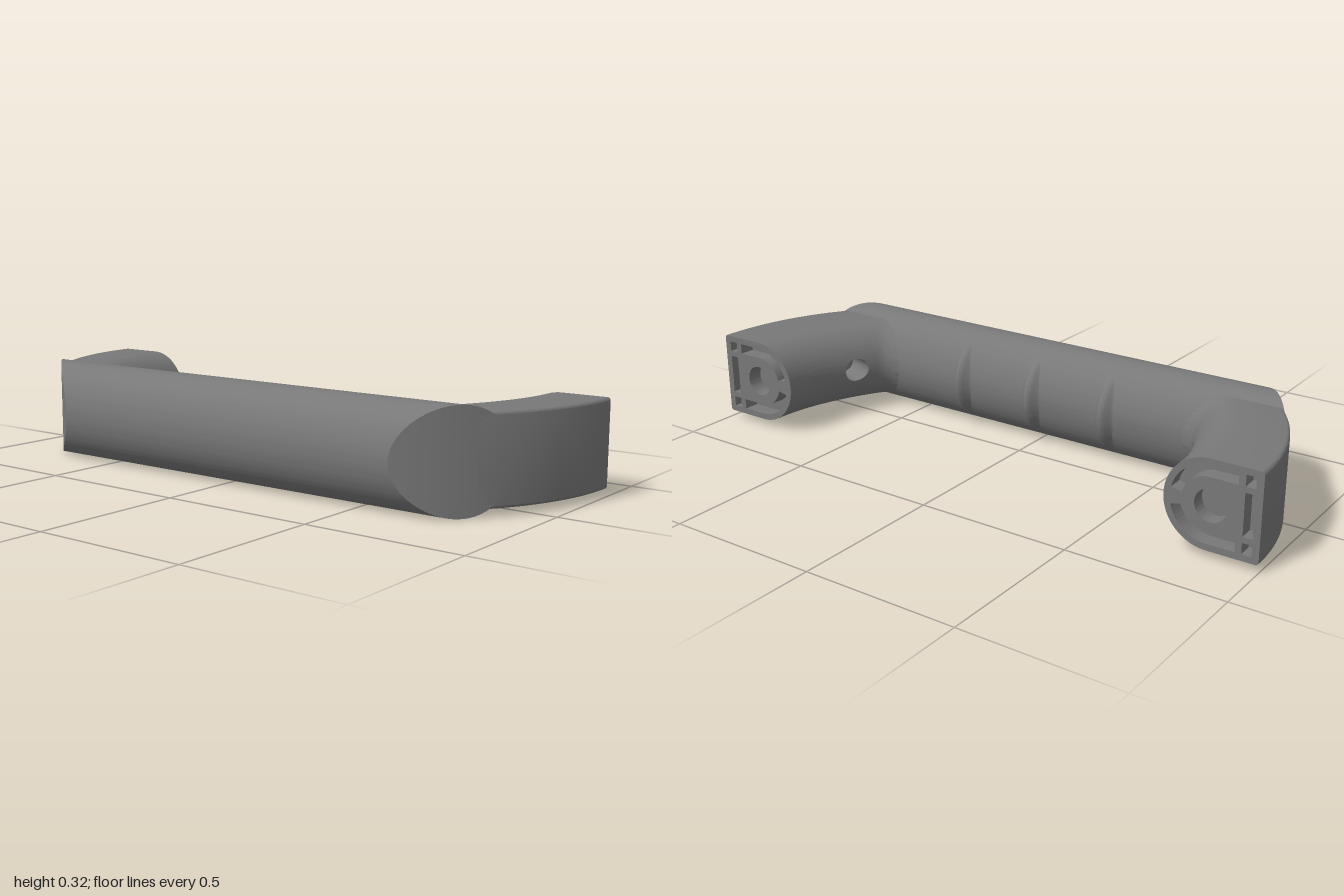
import * as THREE from 'three';
import { toCreasedNormals } from 'three/addons/utils/BufferGeometryUtils.js';

const material = new THREE.MeshStandardMaterial({ color: 0x787878 });

// Grip oval, leg section and corner rounding
const gripY = 0.16, gripRy = 0.16, gripZ = 0.19, gripRz = 0.127;
const backZ = -0.32, legY = 0.1605, legR = 0.1375, cornerR = 0.01;

// Plan curves: outer arc of grip ends and legs, and inner line of the legs
const outerX = z => 0.251 + Math.sqrt(0.561 - (z + 0.32) ** 2);
const innerX = z => 0.705 - 0.75 * (z + 0.32) ** 2;

// Rounded flare that blends the leg into the back of the grip
function flare(y, z) {
  const w = 0.042;
  const gripBack = gripZ - gripRz * Math.sqrt(1 - ((y - gripY) / gripRy) ** 2);
  const d = THREE.MathUtils.clamp(gripBack - z, 0, w);
  return w - Math.sqrt(w * w - (w - d) ** 2);
}

// Skin a list of closed rings of points; skip(i, j) leaves a cell open
function loft(rings, skip = () => false) {
  const n = rings[0].length, index = [];
  for (let i = 0; i < rings.length - 1; i++) {
    for (let j = 0; j < n; j++) {
      if (skip(i, j)) continue;
      const a = i * n + j, b = i * n + (j + 1) % n;
      index.push(a, a + n, b, b, a + n, b + n);
    }
  }
  const geometry = new THREE.BufferGeometry();
  geometry.setAttribute('position', new THREE.Float32BufferAttribute(rings.flat(2), 3));
  geometry.setIndex(index);
  return toCreasedNormals(geometry, 0.45);
}

function mesh(name, geometry, mat = material) {
  const m = new THREE.Mesh(geometry, mat);
  m.name = name;
  return m;
}

// Oval grip with curved end faces and three crescent finger ridges on the back
function gripGeometry() {
  const n = 120, ridges = [-0.28, 0, 0.28], ridgeHalf = 0.04;
  const ring = (s, xAt) => Array.from({ length: n }, (_, j) => {
    const a = j / n * Math.PI * 2, c = Math.cos(a);
    const z = gripZ - s * gripRz * c;
    const x = xAt(z);
    let lift = 0;
    for (const r of ridges) {
      const t = Math.min(1, Math.abs(x - r) / ridgeHalf);
      const bell = 0.5 + 0.5 * Math.cos(Math.PI * t);
      lift += Math.max(0, 0.029 * bell - 0.075 * (1 - c));
    }
    return [x, gripY - s * gripRy * Math.sin(a), z - lift];
  });
  const rings = [], steps = 10;
  for (let k = 0; k <= steps; k++) rings.push(ring(k / steps, z => -outerX(z)));
  for (const r of ridges) {
    for (let k = -12; k <= 12; k++) rings.push(ring(1, () => r + ridgeHalf * k / 12));
  }
  for (let k = steps; k >= 0; k--) rings.push(ring(k / steps, z => outerX(z)));
  return loft(rings);
}

// D-section leg; grid cells around the hole are opened and rounded to a circle
const arcSteps = 64, rows = 70, holeRow = 40, holeCol = 32, holeCells = 6;
const cell = legR * Math.PI / arcSteps;

function legPoint(i, j) {
  let dy = (j - holeCol) * cell, dz = (i - holeRow) * cell;
  const m = Math.max(Math.abs(dy), Math.abs(dz)), R = holeCells * cell;
  if (m > 0 && m < 2 * R) {
    const t = THREE.MathUtils.clamp((m - R) / R, 0, 1);
    const f = THREE.MathUtils.lerp(m / Math.hypot(dy, dz), 1, t);
    dy *= f;
    dz *= f;
  }
  const z = backZ + holeRow * cell + dz, a = dy / legR;
  const y = legY + legR * Math.sin(a);
  return [innerX(z) + legR - (legR + flare(y, z)) * Math.cos(a), y, z];
}

function legGeometry() {
  const rings = [], cornerSteps = 4;
  for (let i = 0; i <= rows; i++) {
    const z = backZ + i * cell, x = outerX(z) - cornerR, ring = [];
    for (let j = 0; j <= arcSteps; j++) ring.push(legPoint(i, j));
    // Rounded outer corners, top then bottom
    for (const side of [1, -1]) {
      for (let k = 0; k <= cornerSteps; k++) {
        const t = k / cornerSteps * Math.PI / 2, a = side > 0 ? Math.PI / 2 - t : -t;
        ring.push([x + cornerR * Math.cos(a), legY + side * (legR - cornerR) + cornerR * Math.sin(a), z]);
      }
    }
    rings.push(ring);
  }
  const inHole = (k, centre) => k >= centre - holeCells && k < centre + holeCells;
  return loft(rings, (i, j) => inHole(i, holeRow) && inHole(j, holeCol));
}

// Blind round hole in the inner side of the leg
function holeGeometry() {
  const rim = [], h = holeCells;
  for (let k = -h; k < h; k++) rim.push(legPoint(holeRow - h, holeCol + k));
  for (let k = -h; k < h; k++) rim.push(legPoint(holeRow + k, holeCol + h));
  for (let k = h; k > -h; k--) rim.push(legPoint(holeRow + h, holeCol + k));
  for (let k = h; k > -h; k--) rim.push(legPoint(holeRow + k, holeCol - h));
  const bottom = rim.map(([x, y, z]) => [x + 0.1, y, z + 0.03]);
  const centre = legPoint(holeRow, holeCol);
  const floor = bottom.map(() => [centre[0] + 0.1, centre[1], centre[2] + 0.03]);
  return loft([rim, bottom, floor]);
}

// Outline of the leg's mounting face
const faceX = innerX(backZ) + legR;

function faceShape() {
  const e = 0.0005, r = legR - e, x = 1 - e - cornerR, dy = r - cornerR;
  const s = new THREE.Shape();
  s.absarc(x, legY - dy, cornerR, -Math.PI / 2, 0, false);
  s.absarc(x, legY + dy, cornerR, 0, Math.PI / 2, false);
  s.absarc(faceX, legY, r, Math.PI / 2, Math.PI * 1.5, false);
  s.closePath();
  return s;
}

function rectHole(cx, cy, w, h) {
  const p = new THREE.Path();
  p.moveTo(cx - w / 2, cy - h / 2);
  p.lineTo(cx - w / 2, cy + h / 2);
  p.lineTo(cx + w / 2, cy + h / 2);
  p.lineTo(cx + w / 2, cy - h / 2);
  p.closePath();
  return p;
}

// Slot that runs straight along the edge and then round the curved side
function hookHole(side) {
  const r0 = 0.083, r1 = 0.117, a0 = side * Math.PI / 2, a1 = side * Math.PI * 0.93;
  const p = new THREE.Path();
  p.moveTo(faceX + 0.085, legY + side * r0);
  p.lineTo(faceX + 0.085, legY + side * r1);
  p.absarc(faceX, legY, r1, a0, a1, side < 0);
  p.absarc(faceX, legY, r0, a1, a0, side > 0);
  p.closePath();
  return p;
}

// Mounting face with a screw hole and moulded pockets
function mountGeometry() {
  const s = faceShape();
  const screw = new THREE.Path();
  screw.absarc(0.85, legY, 0.05, 0, Math.PI * 2, false);
  s.holes.push(screw, rectHole(0.963, legY, 0.03, 0.13));
  for (const side of [-1, 1]) {
    s.holes.push(rectHole(0.963, legY + side * 0.1, 0.03, 0.034), hookHole(side));
  }
  const g = new THREE.ExtrudeGeometry(s, { depth: 0.05, bevelEnabled: false, curveSegments: 24 });
  g.translate(0, 0, backZ);
  // Follow the start of the leg's bend
  const p = g.attributes.position;
  for (let i = 0; i < p.count; i++) p.setX(i, p.getX(i) + outerX(p.getZ(i)) - 1);
  return toCreasedNormals(g, 0.45);
}

function pocketFloorGeometry() {
  const g = new THREE.ExtrudeGeometry(faceShape(), { depth: 0.004, bevelEnabled: false, curveSegments: 24 });
  return g.translate(outerX(backZ + 0.054) - 1, 0, backZ + 0.05);
}

export function createModel() {
  const model = new THREE.Group();
  model.name = 'pullHandle';
  model.add(mesh('grip', gripGeometry()));

  const leftLeg = new THREE.Group();
  leftLeg.name = 'leftLeg';
  const holeMaterial = material.clone();
  holeMaterial.side = THREE.DoubleSide;
  leftLeg.add(
    mesh('legShell', legGeometry()),
    mesh('sideHole', holeGeometry(), holeMaterial),
    mesh('mountingFace', mountGeometry()),
    mesh('pocketFloor', pocketFloorGeometry()),
  );
  const rightLeg = leftLeg.clone();
  rightLeg.name = 'rightLeg';
  rightLeg.scale.x = -1;
  model.add(leftLeg, rightLeg);
  return model;
}
